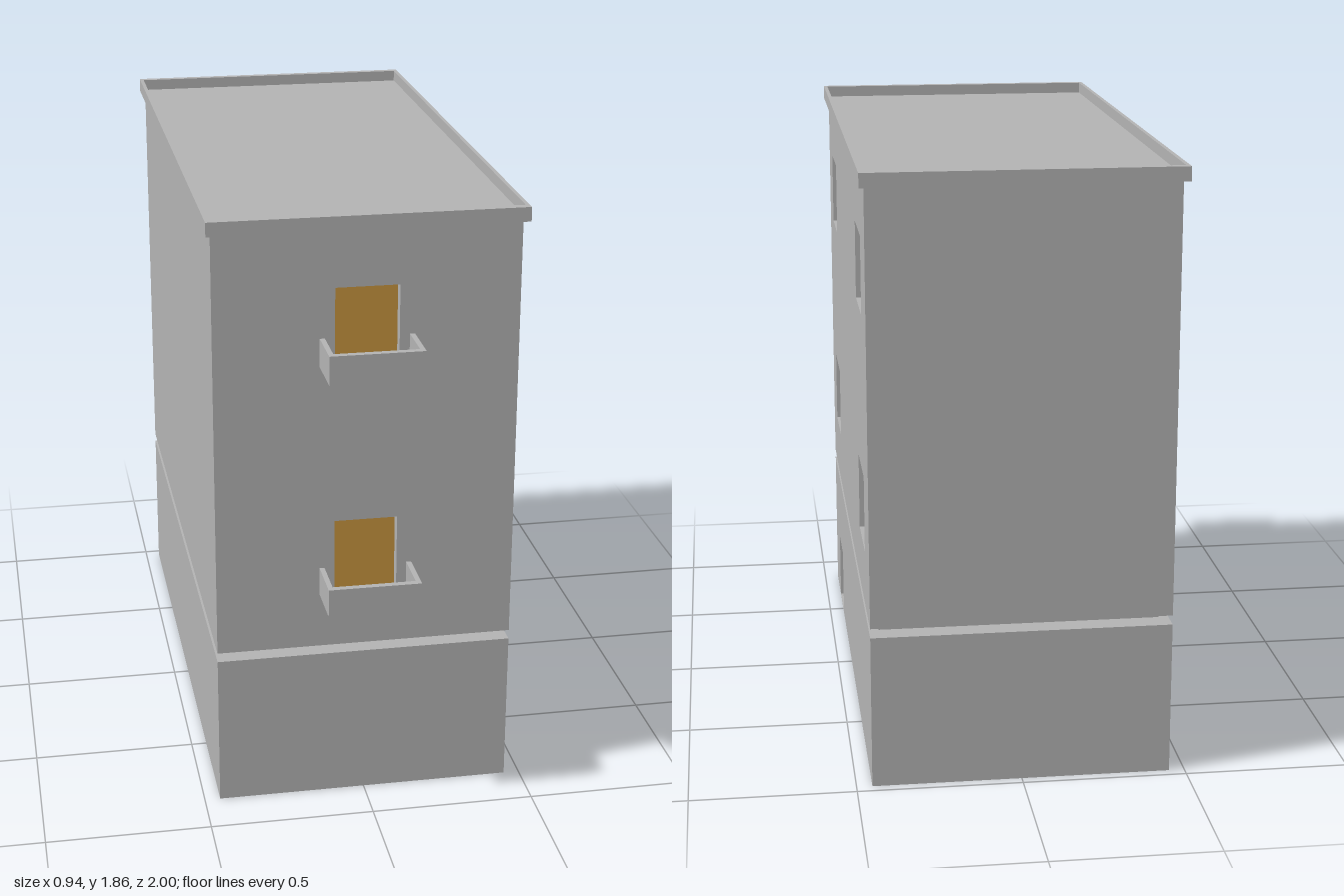
import * as THREE from 'three';

const wallMat = new THREE.MeshStandardMaterial({ color: 0xb3b3b3 });
wallMat.name = 'grey concrete';
const windowMat = new THREE.MeshStandardMaterial({ color: 0xc8963f });
windowMat.name = 'amber glass';
const doorMat = new THREE.MeshStandardMaterial({ color: 0x0c0c0c });
doorMat.name = 'black door';

// Outer walls and depth of the window recesses
const X = 0.4525, FRONT = 0.845, BACK = -0.97, RECESS = 0.036;

// Box given by its limits on each axis
function box(name, mat, [x0, x1], [y0, y1], [z0, z1]) {
  const mesh = new THREE.Mesh(new THREE.BoxGeometry(x1 - x0, y1 - y0, z1 - z0), mat);
  mesh.position.set((x0 + x1) / 2, (y0 + y1) / 2, (z0 + z1) / 2);
  mesh.name = name;
  return mesh;
}

function trace(path, [u0, u1, v0, v1]) {
  path.moveTo(u0, v0);
  path.lineTo(u1, v0);
  path.lineTo(u1, v1);
  path.lineTo(u0, v1);
  path.closePath();
  return path;
}

// Wall slab with rectangular openings, as thick as the recess
function pierced(name, outline, openings) {
  const shape = trace(new THREE.Shape(), outline);
  for (const o of openings) shape.holes.push(trace(new THREE.Path(), o));
  const geo = new THREE.ExtrudeGeometry(shape, { depth: RECESS, bevelEnabled: false });
  const mesh = new THREE.Mesh(geo, wallMat);
  mesh.name = name;
  return mesh;
}

// Storey block: solid core, pierced side wall (+x) and pierced front wall
function storey(name, y0, y1, sideOpenings, frontOpenings, paneName, paneMat) {
  const g = new THREE.Group();
  g.name = name;
  const xi = X - RECESS, zi = FRONT - RECESS, t = 0.003;
  g.add(box('core', wallMat, [-X, xi], [y0, y1], [BACK, zi]));

  const side = pierced('sideWall', [-FRONT, -BACK, y0, y1], sideOpenings);
  side.rotation.y = Math.PI / 2;
  side.position.x = xi;
  const front = pierced('frontWall', [-X, xi, y0, y1], frontOpenings);
  front.position.z = zi;
  g.add(side, front);

  for (const [u0, u1, v0, v1] of sideOpenings)
    g.add(box(paneName, paneMat, [xi, xi + t], [v0, v1], [-u1, -u0]));
  for (const [u0, u1, v0, v1] of frontOpenings)
    g.add(box(paneName, paneMat, [u0, u1], [v0, v1], [zi, zi + t]));
  return g;
}

// Low-walled balcony standing out from the front
function balcony(y) {
  const g = new THREE.Group();
  g.name = 'balcony';
  const w = 0.14, top = y + 0.087, t = 0.015;
  g.add(box('balconyFloor', wallMat, [-w, w], [y, y + t], [FRONT, 1]));
  g.add(box('balconyFront', wallMat, [-w, w], [y + t, top], [0.98, 1]));
  for (const s of [-1, 1]) {
    const xs = s > 0 ? [w - t, w] : [-w, t - w];
    g.add(box('balconySide', wallMat, xs, [y + t, top], [FRONT, 0.98]));
  }
  return g;
}

export function createModel() {
  const model = new THREE.Group();
  model.name = 'building';

  // Ground floor with the side door
  model.add(storey('groundFloor', 0, 0.475, [[-0.645, -0.46, 0.003, 0.23]], [], 'door', doorMat));

  // Recessed band between the floors
  model.add(box('recessedBand', wallMat, [-0.423, 0.423], [0.475, 0.504], [-0.905, 0.78]));

  // Upper floors: two windows on the side and one on the front at each level
  const sideWindows = [], frontWindows = [];
  for (const y of [0.68, 1.407]) {
    sideWindows.push([-0.67, -0.44, y, y + 0.235], [0.555, 0.787, y, y + 0.235]);
    frontWindows.push([-0.095, 0.095, y, y + 0.234]);
    model.add(balcony(y - 0.004));
  }
  model.add(storey('upperFloors', 0.504, 1.82, sideWindows, frontWindows, 'window', windowMat));

  // Roof slab with a raised rim
  const roof = new THREE.Group();
  roof.name = 'roof';
  const rx = 0.468, ix = 0.456, z0 = -1, z1 = 0.874, iz0 = -0.977, iz1 = 0.848;
  const lip = [1.825, 1.86];
  roof.add(box('roofSlab', wallMat, [-rx, rx], [1.817, 1.825], [z0, z1]));
  roof.add(box('rimLeft', wallMat, [ix, rx], lip, [z0, z1]));
  roof.add(box('rimRight', wallMat, [-rx, -ix], lip, [z0, z1]));
  roof.add(box('rimFront', wallMat, [-ix, ix], lip, [iz1, z1]));
  roof.add(box('rimBack', wallMat, [-ix, ix], lip, [z0, iz0]));
  model.add(roof);

  return model;
}
